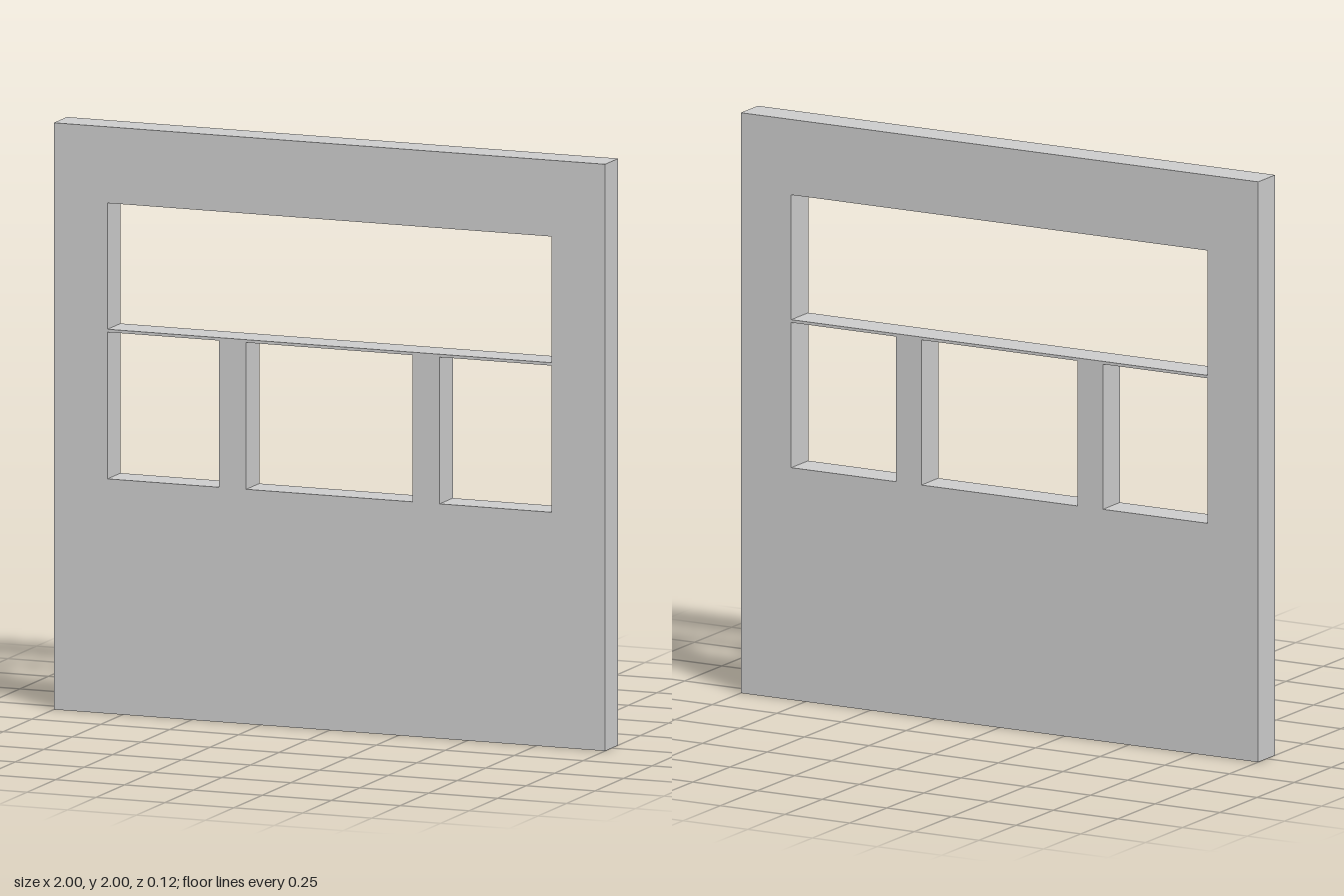
import * as THREE from 'three';

const DEPTH = 0.115;

function rectangle(path, x0, y0, x1, y1) {
  path.moveTo(x0, y0);
  path.lineTo(x1, y0);
  path.lineTo(x1, y1);
  path.lineTo(x0, y1);
  path.closePath();
  return path;
}

export function createModel() {
  const group = new THREE.Group();
  group.name = 'windowWall';
  const material = new THREE.MeshStandardMaterial({ color: 0xcccccc, flatShading: true });

  // Wall slab; the thin transom and two mullions remain between the openings
  const wall = rectangle(new THREE.Shape(), -1, 0, 1, 2);
  const openings = [
    [-0.805, 1.31, 0.805, 1.74], // wide upper light
    [-0.805, 0.8, -0.4, 1.3], // right pane
    [-0.302, 0.8, 0.302, 1.3], // centre pane
    [0.4, 0.8, 0.805, 1.3], // left pane
  ];
  for (const o of openings) wall.holes.push(rectangle(new THREE.Path(), ...o));

  const geometry = new THREE.ExtrudeGeometry(wall, { depth: DEPTH, bevelEnabled: false });
  geometry.translate(0, 0, -DEPTH / 2);
  const mesh = new THREE.Mesh(geometry, material);
  mesh.name = 'wallWithWindowOpenings';
  group.add(mesh);
  return group;
}
